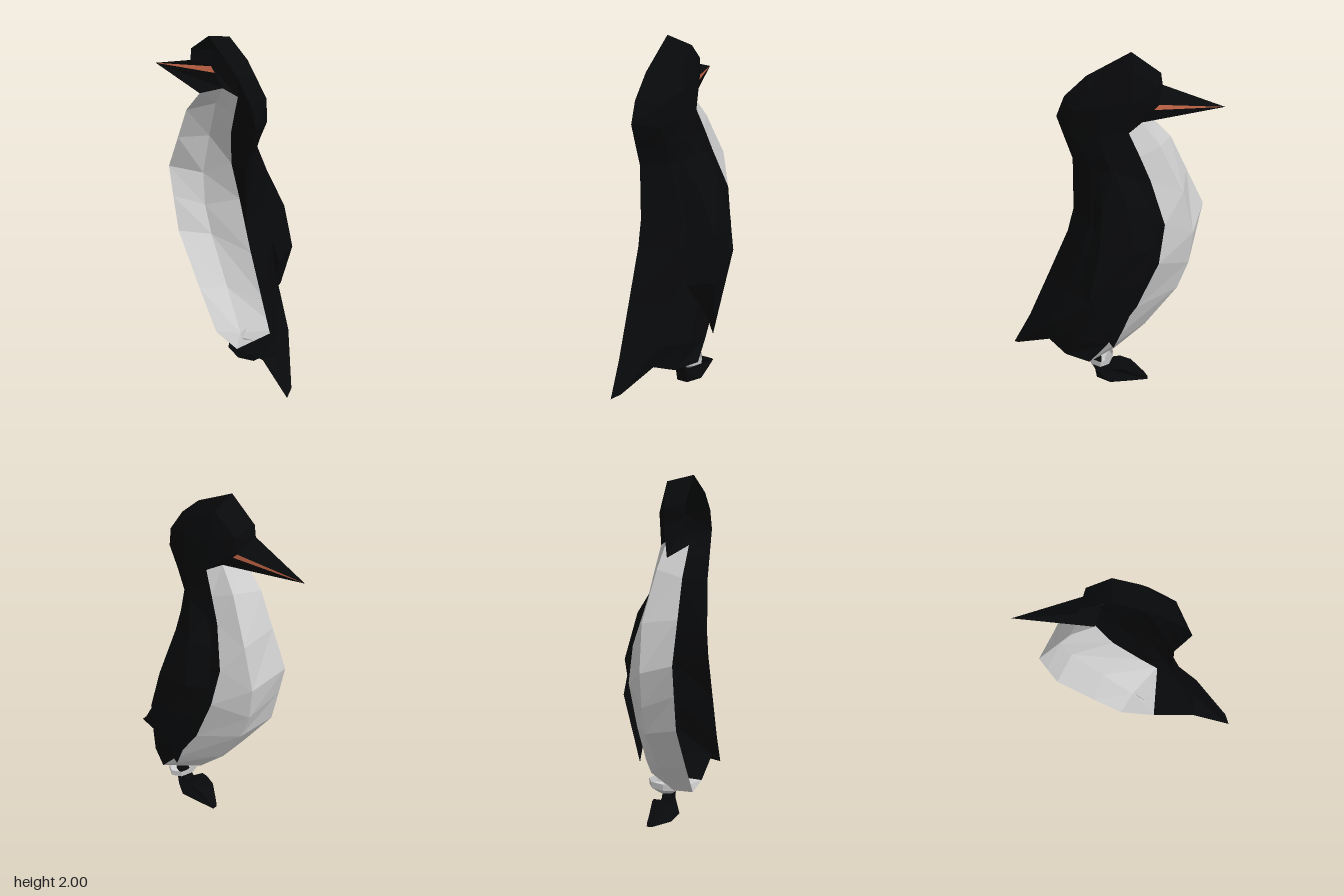
import * as THREE from 'three';

const CUT = 0.2; // plane where the half shell is open
const material = (color) => new THREE.MeshStandardMaterial({ color, flatShading: true, side: THREE.DoubleSide });
const black = material(0x08090b);
const white = material(0xcccccc);
const orange = material(0xd9714f);

function meshFrom(name, triangles, mat) {
  const geometry = new THREE.BufferGeometry();
  geometry.setAttribute('position', new THREE.Float32BufferAttribute(triangles.flat(2), 3));
  geometry.computeVertexNormals();
  const mesh = new THREE.Mesh(geometry, mat);
  mesh.name = name;
  return mesh;
}

// Skin over cross-sections, listed from top to bottom
function loft(name, rows, mat) {
  const triangles = [];
  for (let i = 0; i < rows.length - 1; i++) {
    for (let j = 0; j < rows[i].length - 1; j++) {
      const a = rows[i][j], b = rows[i][j + 1], c = rows[i + 1][j], d = rows[i + 1][j + 1];
      triangles.push([a, b, d], [a, d, c]);
    }
  }
  return meshFrom(name, triangles, mat);
}

// Triangles from one hub point along a chain of points
function fan(name, hub, chain, mat) {
  return meshFrom(name, chain.slice(1).map((p, i) => [hub, chain[i], p]), mat);
}

export function createModel() {
  const model = new THREE.Group();

  // Belly sections: centre, crease, edge of the dark coat
  const belly = [
    [[-0.18, 1.645, CUT], [-0.15, 1.65, 0.07], [-0.08, 1.61, 0.02]],
    [[-0.31, 1.5, CUT], [-0.25, 1.52, 0.045], [-0.14, 1.48, 0]],
    [[-0.4, 1.3, CUT], [-0.38, 1.26, 0], [-0.2, 1.34, -0.02]],
    [[-0.5, 1.08, CUT], [-0.44, 1.0, 0.005], [-0.28, 1.1, -0.08]],
    [[-0.465, 0.9, CUT], [-0.42, 0.8, 0.01], [-0.25, 0.87, -0.115]],
    [[-0.42, 0.69, CUT], [-0.36, 0.63, 0.01], [-0.13, 0.57, -0.105]],
    [[-0.22, 0.4, CUT], [-0.18, 0.36, 0.03], [0.04, 0.3, -0.105]],
    [[-0.06, 0.18, CUT], [0, 0.15, 0.07], [0.14, 0.18, -0.105]],
  ];
  // Coat sections: side, back corner, spine
  const coat = [
    [[0.08, 1.6, 0.02], [0.24, 1.6, 0.07], [0.315, 1.62, CUT]],
    [[0.05, 1.48, 0.005], [0.18, 1.48, 0.07], [0.27, 1.48, CUT]],
    [[0.0, 1.36, -0.03], [0.13, 1.36, 0.07], [0.23, 1.36, CUT]],
    [[-0.06, 1.1, -0.09], [0.13, 1.05, 0], [0.23, 1.04, CUT]],
    [[0, 0.88, -0.11], [0.18, 0.88, -0.01], [0.265, 0.89, CUT]],
    [[0.1, 0.58, -0.1], [0.27, 0.58, 0.02], [0.38, 0.6, CUT]],
    [[0.2, 0.33, -0.08], [0.38, 0.36, 0.02], [0.5, 0.3, CUT]],
    [[0.28, 0.18, -0.03], [0.38, 0.23, 0.05], [0.6, 0.1, CUT]],
  ].map((row, i) => [belly[i][2], ...row]);
  model.add(loft('belly', belly, white), loft('coat', coat, black));

  // Underside of the belly and the tail
  const rump = [0.14, 0.17, CUT];
  const [, , tailRoot, tailTip] = coat[7];
  model.add(
    fan('bellyUnderside', rump, belly[7], white),
    fan('tailUnderside', [0.38, 0.23, CUT], [rump, ...coat[7]], black),
    fan('tailEdge', [0.575, 0.13, 0.15], [tailTip, coat[6][2], tailRoot, tailTip], black),
  );

  // Head, from crown ridge down to the neck, open behind the beak
  const cheek = [-0.24, 1.75, 0.08];
  const chin = belly[0][1];
  const brow = [-0.26, 1.81, CUT];
  const head = [
    [[-0.25, 1.88, CUT], [-0.25, 1.88, CUT], [-0.09, 2, CUT], [0.03, 1.93, CUT], [0.14, 1.866, CUT], [0.15, 1.86, CUT]],
    [brow, [-0.23, 1.85, 0.075], [-0.1, 1.96, 0.058], [0.04, 1.87, 0.045], [0.14, 1.82, 0.08], [0.15, 1.86, CUT]],
    [cheek, cheek, [-0.1, 1.79, 0.016], [0.08, 1.77, 0.016], [0.22, 1.72, 0.06], [0.27, 1.74, CUT]],
    [chin, chin, ...coat[0]],
  ];
  model.add(loft('head', head, black));

  // Beak with a coloured stripe along its side
  const beakTip = [-0.6, 1.68, CUT];
  const mouth = [-0.212, 1.72, 0.077];
  model.add(
    fan('upperBeak', beakTip, [brow, cheek], black),
    fan('beakStripe', beakTip, [cheek, mouth], orange),
    fan('lowerBeak', beakTip, [mouth, chin, belly[0][0]], black),
  );

  // Flipper: front edge, outer middle, back edge, inner back, inner middle
  const wingTip = [0, 0.3, -0.13];
  const flipper = [
    [[-0.12, 1.38, -0.01], [0, 1.4, -0.02], [0.08, 1.36, 0.02], [0.1, 1.34, 0.05], [0, 1.36, -0.01]],
    [[-0.2, 1.2, -0.06], [-0.08, 1.22, -0.115], [0.06, 1.2, -0.07], [0.12, 1.18, 0.03], [-0.05, 1.2, -0.06]],
    [[-0.23, 0.98, -0.115], [-0.12, 0.96, -0.178], [0.08, 0.95, -0.18], [0.13, 0.95, 0], [-0.1, 0.95, -0.09]],
    [[-0.17, 0.77, -0.17], [0, 0.74, -0.19], [0.13, 0.7, -0.203], [0.19, 0.68, -0.06], [0, 0.7, -0.1]],
    [[-0.06, 0.45, -0.14], [0.02, 0.45, -0.165], [0.07, 0.44, -0.17], [0.06, 0.44, -0.12], [0, 0.44, -0.11]],
    Array(5).fill(wingTip),
  ].map((row) => [...row, row[0]]);
  model.add(loft('flipper', flipper, black));

  // Thigh stump
  const thighProfile = [[0, 0.1], [0.045, 0.1], [0.1, 0.135], [0.105, 0.175]].map(([r, y]) => new THREE.Vector2(r, y));
  const thigh = new THREE.Mesh(new THREE.LatheGeometry(thighProfile, 8), white);
  thigh.name = 'thigh';
  thigh.scale.x = 0.7;
  thigh.position.set(0.077, 0, 0.005);
  model.add(thigh);

  // Foot and ankle: side outline, narrowing towards top, toe and heel
  const outline = [[-0.2, 0], [-0.1, 0], [0.02, 0], [0.1, 0], [0.11, 0.06], [0.14, 0.12], [0.08, 0.11],
    [0.04, 0.06], [0, 0.08], [-0.04, 0.085], [-0.1, 0.07], [-0.18, 0.02]];
  const footShape = new THREE.Shape(outline.map(([x, y]) => new THREE.Vector2(x, y)));
  const footGeometry = new THREE.ExtrudeGeometry(footShape, { depth: 2, bevelEnabled: false });
  const p = footGeometry.attributes.position;
  for (let i = 0; i < p.count; i++) {
    const x = p.getX(i);
    let half = 0.083 * (1 - (x / 0.22) ** 2) - 0.2 * p.getY(i);
    half = x > 0.03 ? 0.032 : Math.max(half, 0.012);
    const centre = 0.018 + 0.35 * Math.min(0, x + 0.1);
    p.setZ(i, centre + (p.getZ(i) - 1) * half);
  }
  footGeometry.computeVertexNormals();
  const foot = new THREE.Mesh(footGeometry, black);
  foot.name = 'foot';
  model.add(foot);

  return model;
}
